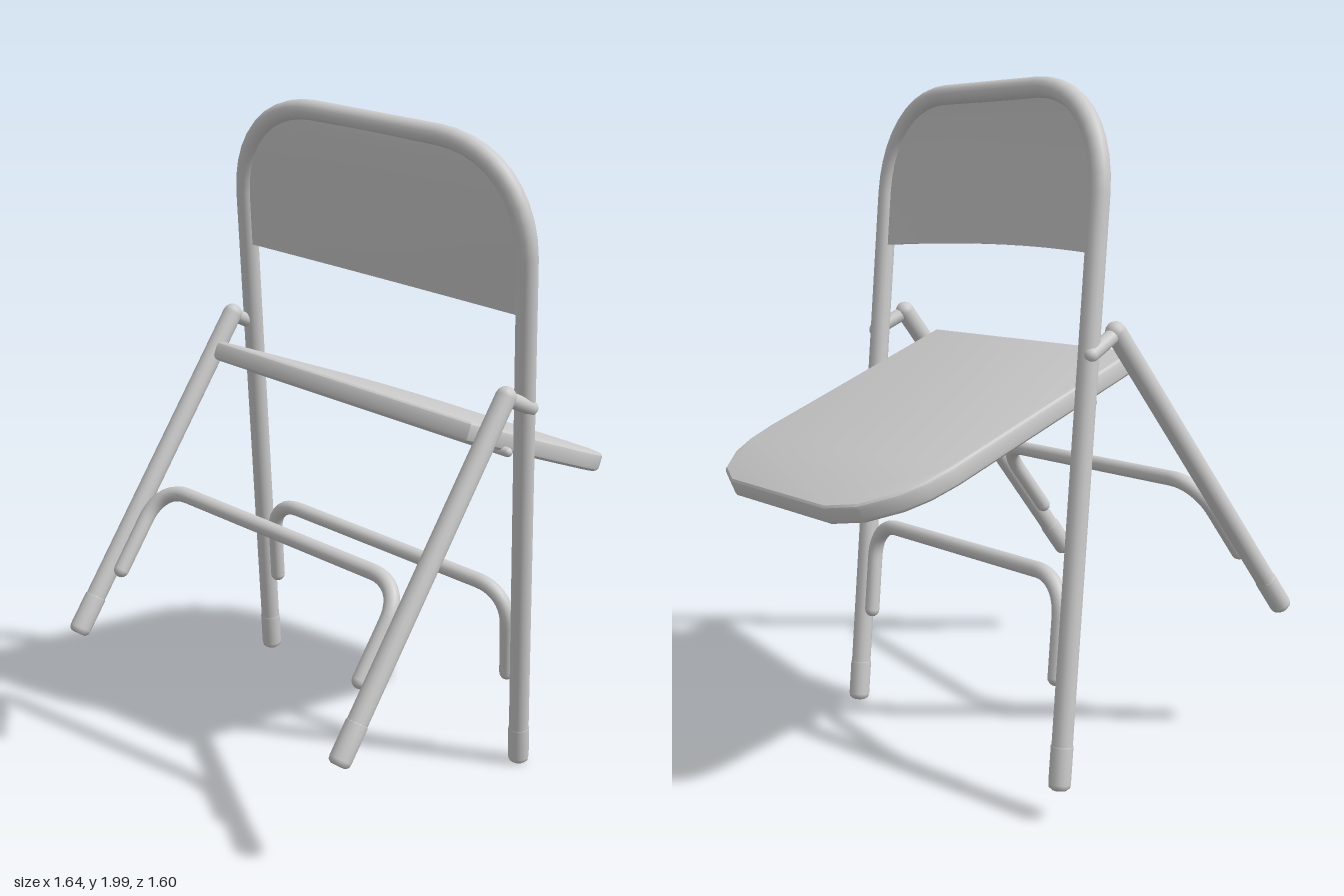
import * as THREE from 'three';
import { toCreasedNormals } from 'three/addons/utils/BufferGeometryUtils.js';

const mat = new THREE.MeshStandardMaterial({ color: 0xcccccc });
const V = (x, y, z = 0) => new THREE.Vector3(x, y, z);
const LEG_X = 0.525, LEG_R = 0.03;

function add(parent, geometry, name) {
  const mesh = new THREE.Mesh(geometry, mat);
  mesh.name = name;
  parent.add(mesh);
  return mesh;
}

// Tube bent into an upside-down U in the XY plane
function bentTube(halfW, yBottom, yTop, corner, radius, steps) {
  const k = corner * 0.4, path = new THREE.CurvePath();
  const inner = halfW - corner, shoulder = yTop - corner;
  path.add(new THREE.LineCurve3(V(-halfW, yBottom), V(-halfW, shoulder)));
  path.add(new THREE.CubicBezierCurve3(V(-halfW, shoulder), V(-halfW, yTop - k), V(-halfW + k, yTop), V(-inner, yTop)));
  path.add(new THREE.LineCurve3(V(-inner, yTop), V(inner, yTop)));
  path.add(new THREE.CubicBezierCurve3(V(inner, yTop), V(halfW - k, yTop), V(halfW, yTop - k), V(halfW, shoulder)));
  path.add(new THREE.LineCurve3(V(halfW, shoulder), V(halfW, yBottom)));
  return new THREE.TubeGeometry(path, steps, radius, 14);
}

// Straight round bar with rounded ends between two points
function bar(parent, a, b, radius, name) {
  const dir = b.clone().sub(a);
  const mesh = add(parent, new THREE.CapsuleGeometry(radius, dir.length(), 4, 14), name);
  mesh.position.copy(a).add(b).multiplyScalar(0.5);
  mesh.quaternion.setFromUnitVectors(V(0, 1), dir.normalize());
}

// Rounded foot sleeve, standing on y
function foot(parent, x, y) {
  const r = LEG_R + 0.002;
  const profile = [[0, 0], [r - 0.01, 0], [r - 0.002, 0.007], [r, 0.018], [r, 0.12], [LEG_R - 0.001, 0.125]];
  const mesh = add(parent, new THREE.LatheGeometry(profile.map(p => new THREE.Vector2(...p)), 14), 'foot');
  mesh.position.set(x, y, 0);
}

// U-shaped stretcher between a pair of legs
function brace(parent, yBottom, yTop) {
  add(parent, bentTube(0.477, yBottom, yTop, 0.11, 0.023, 70), 'brace');
  for (const side of [-1, 1]) {
    add(parent, new THREE.SphereGeometry(0.023, 14, 8), 'braceEnd').position.set(side * 0.477, yBottom, 0);
  }
}

// Backrest panel: fills the top of the frame, bows to the rear, lower edge slightly arched
function backrest() {
  const g = new THREE.BoxGeometry(2, 1, 0.02, 14, 12, 1), p = g.attributes.position;
  for (let i = 0; i < p.count; i++) {
    const u = p.getX(i), t = p.getY(i) + 0.5;
    const bow = (1 - u * u) * (1 - t * t);
    const y = 1.45 + 0.45 * Math.sin(t * Math.PI / 2);
    const rise = Math.max(0, y - 1.61);
    const half = 0.225 + Math.sqrt(Math.max(0, 0.29 ** 2 - rise ** 2));
    p.setXYZ(i, u * half, y + 0.016 * bow, p.getZ(i) + 0.03 * bow);
  }
  g.computeVertexNormals();
  return g;
}

// Seat board: square at the rear, rounded at the front
function seatBoard() {
  const right = [[0.488, 0], [0.492, 0.67], [0.48, 0.755], [0.448, 0.825], [0.37, 0.905], [0.26, 0.947]];
  const outline = [...right, ...right.map(([x, y]) => [-x, y]).reverse()];
  const g = new THREE.ExtrudeGeometry(new THREE.Shape(outline.map(p => new THREE.Vector2(...p))), {
    depth: 0.03, bevelThickness: 0.015, bevelSize: 0.015, bevelOffset: -0.015, bevelSegments: 3,
  });
  return toCreasedNormals(g.translate(0, 0, -0.045), 0.5);
}

export function createModel() {
  const model = new THREE.Group();
  model.name = 'foldingChair';
  const chair = new THREE.Group();
  chair.name = 'chair';
  model.add(chair);

  // Main frame with its feet and brace
  const frame = new THREE.Group();
  frame.name = 'mainFrame';
  chair.add(frame);
  add(frame, bentTube(LEG_X, 0, 1.905, 0.3, LEG_R, 100), 'frameTube');
  brace(frame, 0.285, 0.566);
  add(frame, backrest(), 'backrest');

  // Rear legs, swung out from their top pivots
  const rear = new THREE.Group();
  rear.name = 'rearLegs';
  rear.position.set(0, 1.243, 0.09);
  rear.rotation.x = -0.735;
  chair.add(rear);
  brace(rear, -0.863, -0.58);

  for (const side of [-1, 1]) {
    const x = side * LEG_X;
    foot(frame, x, -0.016);
    bar(rear, V(x, 0), V(x, -1.035), LEG_R, 'rearLeg');
    foot(rear, x, -1.09);
    // Link from the outside of the frame leg to the rear leg
    bar(chair, V(x + side * 0.016, 1.18, -0.005), V(x, 1.24, 0.09), 0.022, 'pivotLink');
  }

  // Seat sloping down to the front, on a cross rod between the frame legs
  const seat = new THREE.Group();
  seat.name = 'seat';
  seat.position.set(0, 1.195, 0.193);
  seat.rotation.x = -2.061;
  chair.add(seat);
  add(seat, seatBoard(), 'seatBoard');
  bar(seat, V(-0.5, 0.2, -0.058), V(0.5, 0.2, -0.058), 0.014, 'crossRod');

  // Whole chair turned and tilted into its pose
  const across = V(0.746, -0.086, 0.66).normalize();
  const back = across.clone().cross(V(-0.031, 0.986, 0.165)).normalize();
  const up = back.clone().cross(across);
  chair.quaternion.setFromRotationMatrix(new THREE.Matrix4().makeBasis(across, up, back));
  chair.position.set(0.158, 0.066, -0.25);
  return model;
}
